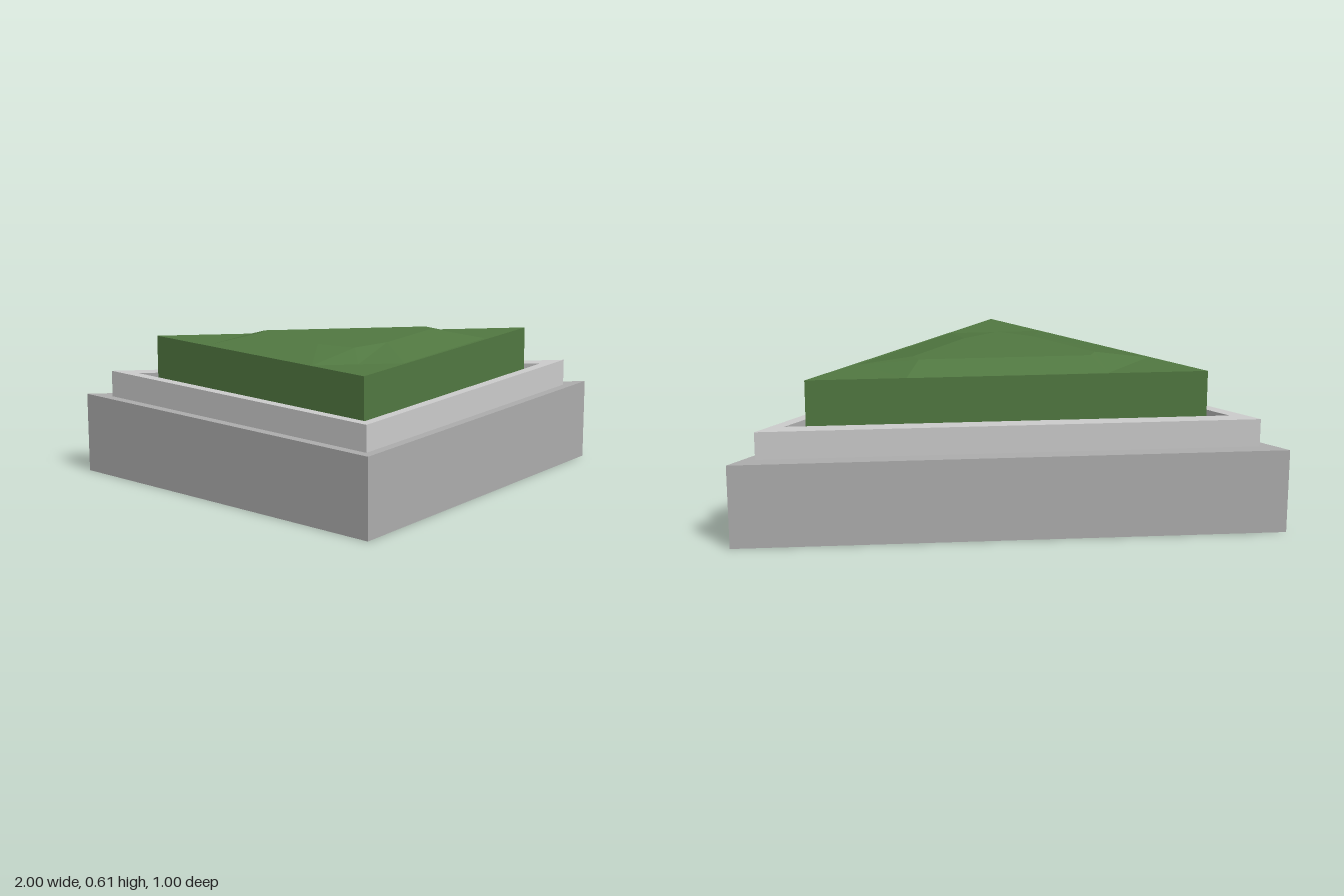
import * as THREE from 'three';

// Triangle outline, seen from above: front tip, left corner, right corner.
// The back edge is very slightly askew.
const tri = (x, zBack, zTip) => [[0, zTip], [x, zBack + 0.01], [-x, zBack]];
const OUTER = tri(1, -0.5, 0.5);
const STEP = tri(0.9, -0.45, 0.45);
const OPENING = tri(0.795, -0.4, 0.4);
const CAP = tri(0.72, -0.36, 0.37);

// Joins [outline, height] loops with flat faces, in order.
function loft(loops) {
  const pos = [];
  const face = (...pts) => {
    const [a, b, c] = pts.map((p) => new THREE.Vector3(...p));
    if (b.clone().sub(a).cross(c.clone().sub(a)).length() < 1e-8) return;
    for (const p of pts) pos.push(...p);
  };
  for (let k = 0; k + 1 < loops.length; k++) {
    const [lo, y0] = loops[k], [hi, y1] = loops[k + 1];
    for (let i = 0; i < lo.length; i++) {
      const j = (i + 1) % lo.length;
      const a = [lo[i][0], y0, lo[i][1]], b = [lo[j][0], y0, lo[j][1]];
      const c = [hi[j][0], y1, hi[j][1]], d = [hi[i][0], y1, hi[i][1]];
      face(a, b, c);
      face(a, c, d);
    }
  }
  const geo = new THREE.BufferGeometry();
  geo.setAttribute('position', new THREE.Float32BufferAttribute(pos, 3));
  geo.computeVertexNormals();
  return geo;
}

// Same number of points, all at one spot, to close a loft.
const point = (outline, z) => outline.map(() => [0, z]);

export function createModel() {
  const group = new THREE.Group();
  const add = (name, loops, color, side = THREE.FrontSide) => {
    const mat = new THREE.MeshStandardMaterial({ color, side, flatShading: true });
    const mesh = new THREE.Mesh(loft(loops), mat);
    mesh.name = name;
    group.add(mesh);
  };

  // Hollow base: thin wall and shelf, open underneath
  add('baseShell', [[OUTER, 0], [OUTER, 0.315], [STEP, 0.315]], 0xadadad, THREE.DoubleSide);

  // Raised collar with a flat rim around the opening
  add('collar', [[STEP, 0.315], [STEP, 0.418], [OPENING, 0.418]], 0xcccccc, THREE.DoubleSide);

  // Lining of the opening and the dark gap floor around the button
  add('openingLining', [[OPENING, 0.418], [OPENING, 0.17]], 0xadadad);
  add('gapFloor', [[OPENING, 0.17], [CAP, 0.17]], 0x050505);

  // Button: closed triangular prism
  const mid = -0.12;
  add('button', [
    [point(CAP, mid), 0.168], [CAP, 0.168], [CAP, 0.575], [point(CAP, mid), 0.575],
  ], 0x517841);

  // Low faceted crown on the button
  const mirror = (half) => [...half, ...half.slice(1).reverse().map(([x, z]) => [-x, z])];
  const foot = mirror([[0, 0.19], [0.17, 0.19], [0.53, -0.18], [0.36, -0.354]]);
  const flat = mirror([[0, 0.075], [0.13, 0.0], [0.33, -0.21], [0.31, -0.25]]);
  add('buttonCrown', [[foot, 0.575], [flat, 0.611], [point(flat, mid), 0.611]], 0x517841);

  return group;
}
